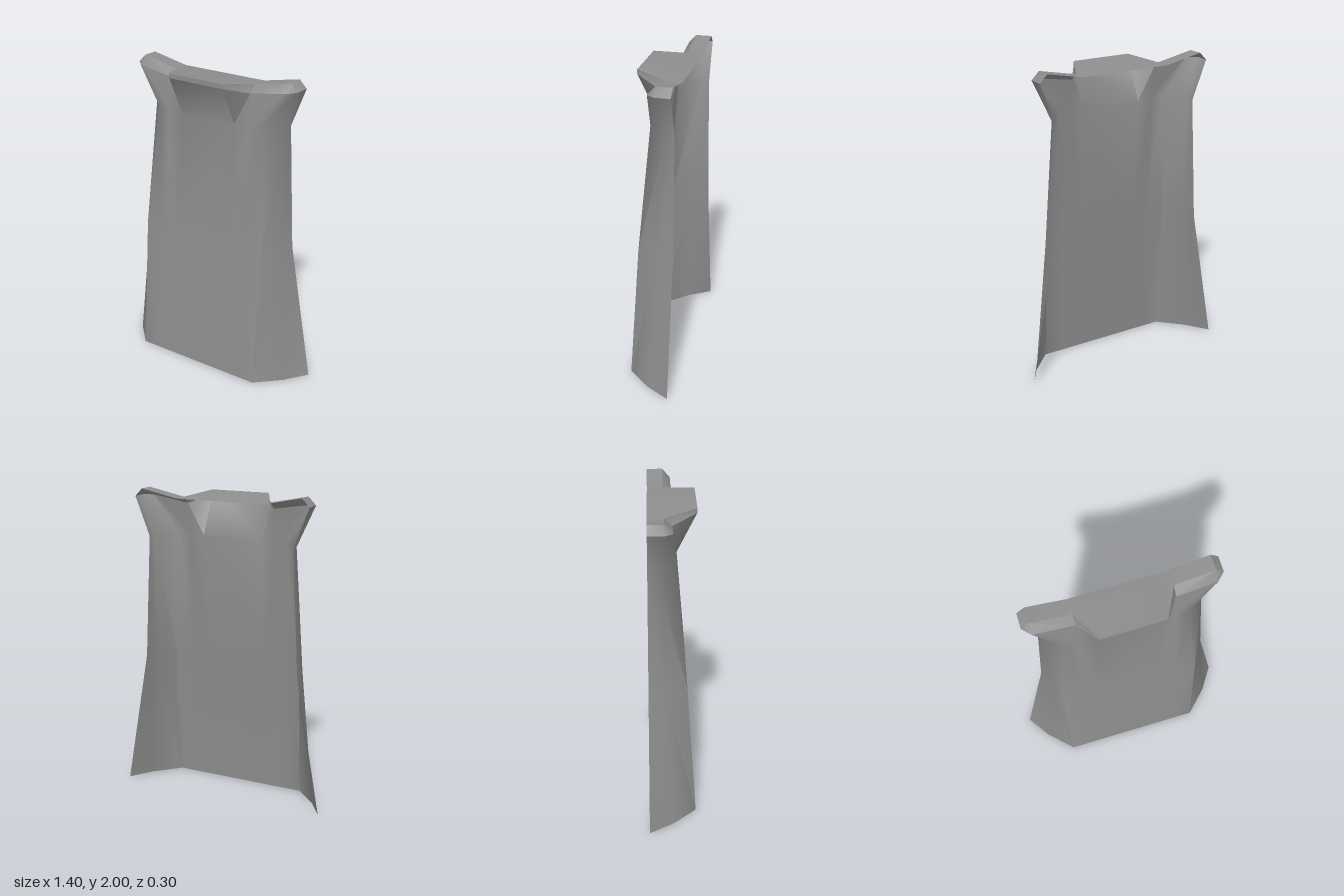
import * as THREE from 'three';
import { toCreasedNormals } from 'three/addons/utils/BufferGeometryUtils.js';

// Half cross-sections, from the open back edge (+x) round to the front centre
const foot = [[0.7, 0, -0.15], [0.6, 0, 0], [0.45, 0, 0.15], [0.33, 0, 0.15], [0.2, 0, 0.15]];
const waist = [[0.54, 0.9, -0.15], [0.53, 0.9, -0.04], [0.45, 0.9, 0.09], [0.32, 0.9, 0.09], [0.2, 0.9, 0.09]];
const neck = [[0.5, 1.7, -0.15], [0.5, 1.7, -0.1], [0.38, 1.7, 0.025], [0.3, 1.7, 0.025], [0.2, 1.7, 0.025]];
const lipLow = [[0.6, 1.95, -0.15], [0.6, 1.95, -0.05], [0.55, 1.945, 0], [0.3, 1.905, 0], [0.2, 1.95, 0.15]];
const lipHigh = [[0.55, 2, -0.15], [0.55, 2, -0.05], [0.55, 2, -0.05], [0.3, 1.95, -0.05], [0.2, 1.98, 0.15]];
const deckBack = [[0.55, 2, -0.15], [0.55, 2, -0.15], [0.55, 2, -0.15], [0.3, 1.95, -0.15], [0.2, 1.95, -0.15]];

// Mirror a half section into a full one running from +x to -x
const full = (half) => [...half, ...half.map(([x, y, z]) => [-x, y, z]).reverse()];

// Skin neighbouring sections, leaving out collapsed triangles
function loft(halves, crease) {
  const rows = halves.map(full);
  const pos = [];
  const same = (p, q) => p.every((v, k) => v === q[k]);
  const tri = (a, b, c) => {
    if (!same(a, b) && !same(b, c) && !same(a, c)) pos.push(...a, ...b, ...c);
  };
  for (let j = 0; j < rows.length - 1; j++) {
    const lo = rows[j], hi = rows[j + 1];
    for (let i = 0; i < lo.length - 1; i++) {
      const a = lo[i], b = lo[i + 1], c = hi[i], d = hi[i + 1];
      // Diagonals mirror across the middle
      if (i < lo.length / 2) { tri(a, c, b); tri(b, c, d); }
      else { tri(a, c, d); tri(a, d, b); }
    }
  }
  const g = new THREE.BufferGeometry();
  g.setAttribute('position', new THREE.Float32BufferAttribute(pos, 3));
  return toCreasedNormals(g, crease);
}

export function createModel() {
  const group = new THREE.Group();
  group.name = 'flaredPanel';
  const grey = new THREE.MeshStandardMaterial({ color: 0x8e8e8e, side: THREE.DoubleSide });
  grey.name = 'grey';

  const add = (name, sections, crease) => {
    const mesh = new THREE.Mesh(loft(sections, crease), grey);
    mesh.name = name;
    group.add(mesh);
  };

  // Open-backed shell, flaring out at the top
  add('shell', [foot, waist, neck, lipLow], 0.95);
  // Bevelled rim round the flare
  add('rim', [lipLow, lipHigh], 0.7);
  // Deck closing the top, rising to the front spout and side tips
  add('topDeck', [lipHigh, deckBack], 0.5);
  return group;
}
